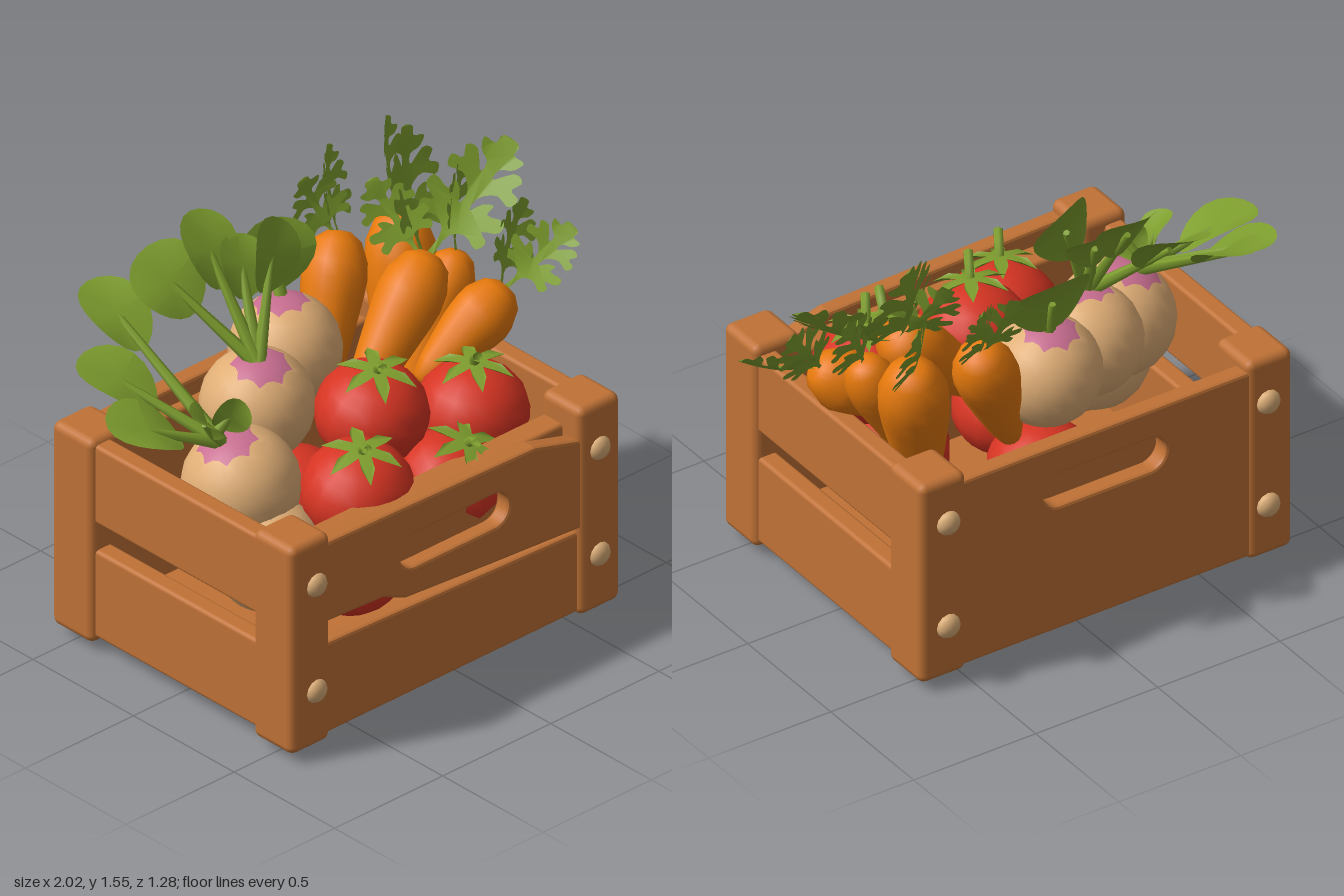
import * as THREE from 'three';
import { RoundedBoxGeometry } from 'three/addons/geometries/RoundedBoxGeometry.js';

const mat = (name, color, side = THREE.FrontSide) => {
  const m = new THREE.MeshStandardMaterial({ color, side });
  m.name = name;
  return m;
};
const V = (a) => new THREE.Vector3(...a);

export function createModel() {
  const root = new THREE.Group();
  root.name = 'vegetableCrate';
  const wood = mat('wood', 0xc07236);
  const nail = mat('nail', 0xdcae78);
  const red = mat('tomatoRed', 0xd63422);
  const orange = mat('carrotOrange', 0xe87a0c);
  const cream = mat('turnipCream', 0xe0ae76);
  const purple = mat('turnipPurple', 0xc86e90);
  const green = mat('leafGreen', 0x7e9e2e, THREE.DoubleSide);

  const add = (name, geo, m, parent = root) => {
    const mesh = new THREE.Mesh(geo, m);
    mesh.name = name;
    parent.add(mesh);
    return mesh;
  };
  // Rounded box given by its min and max corners
  const box = (name, a, b, r = 0.015) => {
    const g = new RoundedBoxGeometry(b[0] - a[0], b[1] - a[1], b[2] - a[2], 2, r);
    g.translate((a[0] + b[0]) / 2, (a[1] + b[1]) / 2, (a[2] + b[2]) / 2);
    return add(name, g, wood);
  };
  // Group at base whose y axis runs to tip and whose z axis is near the hint
  const aim = (name, base, tip, hint = [0, 0.6, 0.8]) => {
    const y = V(tip).sub(V(base)).normalize();
    const x = y.clone().cross(V(hint)).normalize();
    const z = x.clone().cross(y);
    const g = new THREE.Group();
    g.name = name;
    g.quaternion.setFromRotationMatrix(new THREE.Matrix4().makeBasis(x, y, z));
    g.position.copy(V(base));
    root.add(g);
    return g;
  };
  const poly = (pts) => new THREE.Shape(pts.map((p) => new THREE.Vector2(...p)));

  // ---- Crate: corner posts and domed nails
  const nailGeo = new THREE.SphereGeometry(0.046, 12, 5, 0, Math.PI * 2, 0, Math.PI / 2).scale(1, 0.75, 1).rotateX(Math.PI / 2);
  for (const [x0, x1, nx] of [[-0.835, -0.65, -0.72], [0.5, 0.69, 0.59]]) {
    box('frontPost', [x0, 0.035, 0.41], [x1, 0.855, 0.61], 0.03);
    box('backPost', [x0, 0.035, -0.59], [x1, 0.84, -0.385], 0.03);
    for (const y of [0.255, 0.675]) {
      add('frontNail', nailGeo, nail).position.set(nx, y, 0.604);
      const back = add('backNail', nailGeo, nail);
      back.position.set(nx, y, -0.604);
      back.rotation.y = Math.PI;
    }
  }
  // Side slats
  for (const [x0, x1] of [[-0.815, -0.74], [0.6, 0.675]]) {
    box('lowerSideSlat', [x0, 0.06, -0.45], [x1, 0.405, 0.45]);
    box('upperSideSlat', [x0, 0.51, -0.45], [x1, 0.82, 0.45]);
  }
  // End boards, the upper ones with a hand hole
  const board = (name, pts, z, depth, hole) => {
    const s = poly(pts);
    if (hole) {
      const [cx, cy, w, r] = hole;
      const h = new THREE.Path();
      h.absarc(cx + w, cy, r, -Math.PI / 2, Math.PI / 2);
      h.absarc(cx - w, cy, r, Math.PI / 2, Math.PI * 1.5);
      h.closePath();
      s.holes.push(h);
    }
    const b = 0.012;
    const g = new THREE.ExtrudeGeometry(s, { depth: depth - 2 * b, bevelSize: b, bevelThickness: b, bevelOffset: -b, bevelSegments: 2, curveSegments: 10 });
    add(name, g.translate(0, 0, z + b), wood);
  };
  const handHole = [-0.07, 0.615, 0.185, 0.065];
  board('upperFrontBoard', [[-0.7, 0.5], [-0.4, 0.485], [-0.3, 0.44], [0.1, 0.41], [0.55, 0.38], [0.55, 0.72], [0.3, 0.79], [-0.7, 0.815]], 0.535, 0.065, handHole);
  board('lowerFrontBoard', [[-0.7, 0.05], [0.55, 0.05], [0.55, 0.365], [-0.7, 0.41]], 0.53, 0.06);
  board('backBoard', [[-0.7, 0.05], [0.55, 0.05], [0.55, 0.8], [-0.7, 0.8]], -0.58, 0.07, handHole);
  box('innerFrontBoard', [-0.7, 0.47, 0.42], [0.55, 0.765, 0.52]);
  box('innerBackBoard', [-0.7, 0.47, -0.5], [0.55, 0.75, -0.45]);
  // Floor panel inside a raised rim
  box('floorPanel', [-0.76, 0.045, -0.5], [0.62, 0.09, 0.54]);
  for (const [z0, z1] of [[-0.43, -0.4], [0.38, 0.41]]) box('floorRim', [-0.66, 0, z0], [0.54, 0.06, z1], 0.01);
  for (const [x0, x1] of [[-0.66, -0.63], [0.51, 0.54]]) box('floorRim', [x0, 0, -0.43], [x1, 0.06, 0.41], 0.01);

  // ---- Tomatoes: centre, radius, direction of the stalk
  const star = [];
  for (let i = 0; i < 6; i++) {
    for (const [da, r] of [[-0.5, 0.045], [-0.25, 0.095], [0, 0.145], [0.25, 0.095]]) {
      const a = i * Math.PI / 3 + da;
      star.push([Math.cos(a) * r, Math.sin(a) * r]);
    }
  }
  const calyxGeo = new THREE.ShapeGeometry(poly(star)).rotateX(-Math.PI / 2);
  const cp = calyxGeo.attributes.position;
  for (let i = 0; i < cp.count; i++) {
    const r = Math.hypot(cp.getX(i), cp.getZ(i));
    cp.setY(i, r > 0.12 ? -0.02 : r > 0.06 ? 0.008 : 0.012);
  }
  calyxGeo.computeVertexNormals();
  const stalkGeo = new THREE.TubeGeometry(new THREE.QuadraticBezierCurve3(V([0, -0.02, 0]), V([0, 0.05, 0]), V([-0.04, 0.085, 0.06])), 5, 0.018, 6);
  const tomato = (c, r, dir, leafy = true) => {
    const g = aim('tomato', c, V(c).add(V(dir)).toArray(), [0, 0, 1]);
    add('tomatoFlesh', new THREE.SphereGeometry(r, 16, 11).scale(1, 0.87, 1), red, g);
    if (!leafy) return;
    add('tomatoCalyx', calyxGeo, green, g).position.y = r * 0.87 + 0.008;
    add('tomatoStalk', stalkGeo, green, g).position.y = r * 0.87;
  };
  tomato([-0.25, 0.72, 0.31], 0.2, [-0.1, 1, 0.22]);
  tomato([0, 0.84, 0.11], 0.2, [-0.05, 1, 0.2]);
  tomato([0.36, 0.75, 0.22], 0.2, [0, 1, 0.05]);
  tomato([0.13, 0.63, 0.355], 0.185, [0.15, 1, 0.4]);
  for (const [r, ...c] of [[0.19, -0.22, 0.38, 0.24], [0.19, 0.24, 0.38, 0.23], [0.19, -0.08, 0.42, -0.18], [0.14, -0.17, 0.62, 0.18]]) {
    tomato(c, r, [0, 1, 0], false);
  }

  // ---- Turnips: sphere split along a scalloped line into a purple cap and a cream body
  const scallop = (geo, ring) => {
    const p = geo.attributes.position;
    for (let i = 0; i <= 24; i++) {
      const k = ring * 25 + i, r = V([p.getX(k), p.getY(k), p.getZ(k)]).length();
      const a = i / 24 * Math.PI * 2, t = 0.5 + 0.07 * Math.cos(8 * a);
      p.setXYZ(k, -r * Math.cos(a) * Math.sin(t), r * Math.cos(t), r * Math.sin(a) * Math.sin(t));
    }
    return geo;
  };
  const turnip = (c, r, dir) => {
    const g = aim('turnip', c, V(c).add(V(dir)).toArray(), [0, 0, 1]);
    add('turnipCap', scallop(new THREE.SphereGeometry(r, 24, 4, 0, Math.PI * 2, 0, 0.5), 4), purple, g);
    add('turnipBody', scallop(new THREE.SphereGeometry(r, 24, 10, 0, Math.PI * 2, 0.5, Math.PI - 0.5), 0), cream, g);
  };
  turnip([-0.53, 0.74, 0.03], 0.207, [-0.3, 1, -0.08]);
  turnip([-0.27, 0.86, -0.17], 0.2, [-0.08, 1, 0.2]);
  turnip([-0.01, 0.91, -0.31], 0.197, [0, 1, -0.15]);
  turnip([-0.53, 0.52, 0.17], 0.2, [0, -1, 0]);

  // Turnip leaves: a tapered stem and an oval blade
  const leaf = (base, tip, w, blade = 0.55, hint) => {
    const L = V(base).distanceTo(V(tip)), h = L * blade / 2;
    const g = aim('turnipLeaf', base, tip, hint);
    add('leafStem', new THREE.CylinderGeometry(0.012, 0.026, L - h, 6).translate(0, (L - h) / 2, 0), green, g);
    const o = new THREE.CircleGeometry(1, 20);
    const p = o.attributes.position;
    for (let i = 0; i < p.count; i++) {
      const x = p.getX(i), y = p.getY(i);
      p.setXYZ(i, x * w * (1 + 0.15 * y), L - h + y * h, 0.02 * x * x - 0.025 * y * y + 0.01);
    }
    o.computeVertexNormals();
    add('leafBlade', o, green, g);
  };
  const b1 = [-0.6, 0.92, 0.01], b2 = [-0.29, 1.03, -0.14], b3 = [0, 1.08, -0.34];
  leaf(b1, [-1, 1.1, -0.12], 0.135, 0.66, [0.1, 1, 0.25]);
  leaf(b1, [-0.86, 1.18, -0.42], 0.13, 0.55, [0.2, 0.8, 0.5]);
  leaf(b1, [-0.74, 1.1, 0.03], 0.08, 0.7, [0.5, 0.8, 0.3]);
  leaf([-0.63, 0.92, -0.02], [-0.55, 1.08, 0.05], 0.07, 0.7);
  leaf(b1, [-0.65, 1.32, -0.6], 0.12, 0.42);
  leaf(b2, [-0.49, 1.39, -0.52], 0.15, 0.5);
  leaf(b2, [-0.3, 1.51, -0.46], 0.11, 0.5);
  leaf(b2, [-0.1, 1.49, -0.26], 0.125, 0.52, [0.3, 0.5, 0.8]);
  leaf(b2, [-0.19, 1.42, -0.36], 0.1, 0.5);
  leaf(b3, [0.03, 1.35, -0.43], 0.16, 0.88);

  // ---- Carrots: head, tip, radius
  const carrot = (head, tip, r) => {
    const L = V(head).distanceTo(V(tip));
    const pts = [[0, 0], [0.35, 0.03], [0.55, 0.2], [0.78, 0.5], [0.95, 0.75], [1, 0.87], [0.95, 0.98]];
    const prof = pts.map(([x, y]) => new THREE.Vector2(x * r, y * L));
    prof.push(new THREE.Vector2(r * 0.7, L + r * 0.5), new THREE.Vector2(r * 0.35, L + r * 0.75), new THREE.Vector2(0, L + r * 0.78));
    add('carrotRoot', new THREE.LatheGeometry(prof, 14), orange, aim('carrot', tip, head));
  };
  carrot([0.31, 1.1, -0.4], [0.1, 0.65, -0.26], 0.115);
  carrot([0.44, 1.08, -0.13], [0.06, 0.72, -0.06], 0.12);
  carrot([0.57, 1.09, -0.36], [0.42, 0.5, -0.2], 0.125);
  carrot([0.61, 1.03, -0.15], [0.4, 0.6, -0.14], 0.095);
  carrot([0.64, 0.95, 0.01], [0.36, 0.74, -0.04], 0.112);

  // Carrot fronds: a lobed outline mirrored about the midrib and folded along it
  const half = [[0.03, 0], [0.028, 0.2], [0.14, 0.27], [0.27, 0.22], [0.31, 0.3], [0.23, 0.35], [0.35, 0.4], [0.33, 0.49], [0.19, 0.47], [0.19, 0.55], [0.11, 0.52], [0.05, 0.44],
    [0.05, 0.54], [0.16, 0.62], [0.29, 0.59], [0.32, 0.67], [0.23, 0.7], [0.27, 0.78], [0.18, 0.81], [0.06, 0.7], [0.06, 0.78], [0.15, 0.82], [0.19, 0.9], [0.09, 0.91], [0.08, 0.98]];
  const rim = [...half, [0, 1], ...half.slice().reverse().map(([x, y]) => [-x, y])];
  const outline = new THREE.SplineCurve(rim.map((p) => new THREE.Vector2(...p))).getPoints(130);
  const frondGeo = new THREE.ShapeGeometry(new THREE.Shape(outline));
  const fp = frondGeo.attributes.position;
  for (let i = 0; i < fp.count; i++) fp.setZ(i, 0.3 * Math.abs(fp.getX(i)) - 0.25 * fp.getY(i) * (1 - fp.getY(i)));
  frondGeo.computeVertexNormals();
  const frond = (base, tip, w = 1, hint) => {
    const L = V(base).distanceTo(V(tip));
    add('frondBlade', frondGeo, green, aim('carrotFrond', base, tip, hint)).scale.set(L * w, L, L);
  };
  frond([0.33, 1.16, -0.42], [0.24, 1.39, -0.5], 1.2, [-0.3, 0.6, 0.7]);
  frond([0.34, 1.16, -0.42], [0.42, 1.43, -0.56], 1, [0.5, 0.5, 0.7]);
  frond([0.48, 1.13, -0.15], [0.57, 1.54, -0.34], 1, [0.35, 0.5, 0.8]);
  frond([0.5, 1.13, -0.15], [0.92, 1.41, -0.18], 0.85, [-0.4, 0.7, 0.6]);
  frond([0.47, 1.14, -0.15], [0.4, 1.4, -0.33], 1, [-0.6, 0.4, 0.7]);
  frond([0.59, 1.15, -0.38], [0.68, 1.44, -0.55], 1.1, [0.6, 0.4, 0.7]);
  frond([0.63, 1.09, -0.15], [0.78, 1.36, -0.27], 1, [0.5, 0.5, 0.7]);
  frond([0.7, 1, 0.02], [1, 1.13, 0.04], 1, [-0.3, 0.8, 0.6]);
  frond([0.69, 1, 0.01], [0.88, 1.24, -0.08], 1, [0.4, 0.5, 0.7]);
  return root;
}
